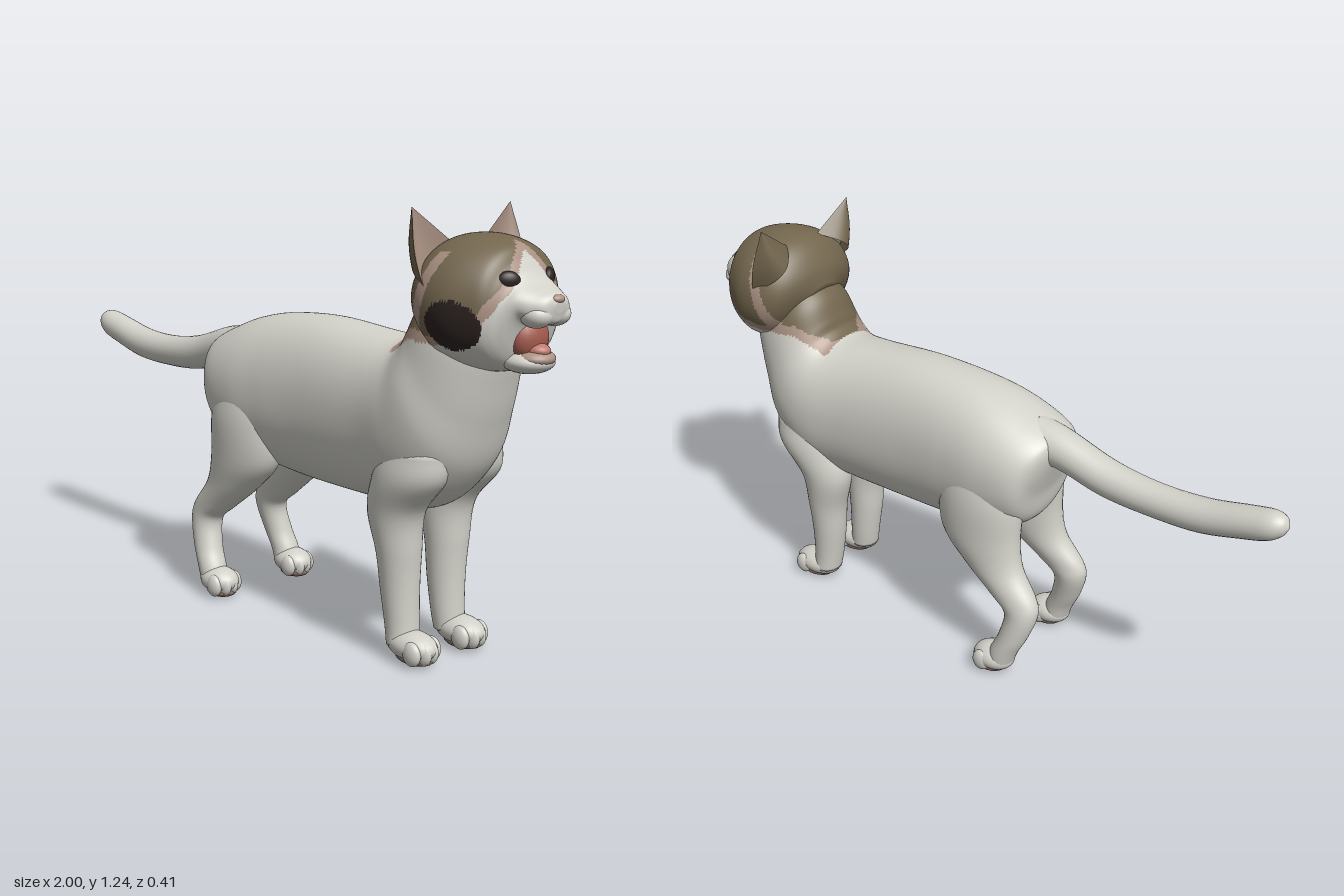
import * as THREE from 'three';

const mat = (name, color) => Object.assign(new THREE.MeshStandardMaterial({ color }), { name });
const white = mat('whiteFur', 0xd3d2ca);
const brown = mat('brownFur', 0x74674f);
const tan = mat('tanFur', 0xab9284);
const dark = mat('darkFur', 0x2c2221);
const mouthRed = mat('mouthRed', 0xa65c50);
const tonguePink = mat('tonguePink', 0xc07a6e);
const padBrown = mat('padBrown', 0x84675e);
const FUR = [white, tan, brown, dark];
const V = (x, y, z) => new THREE.Vector3(x, y, z);

// Smooth closed skin over rings { c: centre, a, b: half axes }
function loft(rings, steps = 6, seg = 32, power = 2) {
  const [cc, ca, cb] = ['c', 'a', 'b'].map(k =>
    new THREE.CatmullRomCurve3(rings.map(r => r[k]), false, 'catmullrom', 0.5));
  const n = (rings.length - 1) * steps, pos = [], idx = [];
  const bend = v => Math.sign(v) * Math.abs(v) ** (2 / power);
  for (let i = 0; i <= n; i++) {
    const c = cc.getPoint(i / n), a = ca.getPoint(i / n), b = cb.getPoint(i / n);
    for (let j = 0; j < seg; j++) {
      const t = j / seg * Math.PI * 2;
      const p = c.clone().addScaledVector(a, bend(Math.cos(t))).addScaledVector(b, bend(Math.sin(t)));
      pos.push(p.x, p.y, p.z);
    }
  }
  for (let i = 0; i < n; i++) for (let j = 0; j < seg; j++) {
    const k = (j + 1) % seg, p = i * seg + j, q = i * seg + k;
    idx.push(p, p + seg, q, q, p + seg, q + seg);
  }
  // end caps
  const first = rings[0].c, last = rings[rings.length - 1].c, m = pos.length / 3;
  pos.push(first.x, first.y, first.z, last.x, last.y, last.z);
  for (let j = 0; j < seg; j++) {
    const k = (j + 1) % seg;
    idx.push(m, j, k, m + 1, n * seg + k, n * seg + j);
  }
  // turn the skin outwards when the signed volume is negative
  const at = i => V(pos[3 * i], pos[3 * i + 1], pos[3 * i + 2]);
  let vol = 0;
  for (let i = 0; i < idx.length; i += 3) vol += at(idx[i]).dot(at(idx[i + 1]).cross(at(idx[i + 2])));
  if (vol < 0) idx.reverse();
  const g = new THREE.BufferGeometry();
  g.setAttribute('position', new THREE.Float32BufferAttribute(pos, 3));
  g.setIndex(idx);
  g.computeVertexNormals();
  return g;
}

// Ring spanning a top and a bottom point of the side profile
const profile = ([xt, yt, xb, yb, w]) =>
  ({ c: V((xt + xb) / 2, (yt + yb) / 2, 0), a: V((xt - xb) / 2, (yt - yb) / 2, 0), b: V(0, 0, w) });

// Piecewise linear lookup in [[key, value], ...]
function lookup(table, k) {
  if (k <= table[0][0]) return table[0][1];
  for (let i = 1; i < table.length; i++) {
    const [k0, v0] = table[i - 1], [k1, v1] = table[i];
    if (k <= k1) return v0 + (v1 - v0) * (k - k0) / (k1 - k0);
  }
  return table[table.length - 1][1];
}

// Fur pattern: 0 white, 1 tan, 2 brown, 3 dark
const hoodEdge = [[0.53, 0.875], [0.62, 0.925], [0.72, 0.92], [0.8, 0.935], [0.86, 0.97], [0.9, 1.03]];
const blazeEdge = [[0.95, 0.17], [1.01, 0.145], [1.07, 0.085], [1.11, 0.055], [1.14, 0.025], [1.16, 0]];
function furAt(x, y, z) {
  if (x < 0.515) return 0;
  if (z > 0.1 && ((x - 0.8) / 0.072) ** 2 + ((y - 0.953) / 0.063) ** 2 < 1) return 3;
  let f = y - lookup(hoodEdge, x);
  if (x > 0.8) f = Math.min(f, Math.abs(z) - lookup(blazeEdge, y));
  if (f < -0.028) return 0;
  const strip = Math.abs(x - 0.68 - (y - 0.93) * 0.3) < 0.018 && y < 1.13 && Math.abs(z) > 0.1;
  return f < 0 || strip ? 1 : 2;
}

// Sort the triangles into one group per fur colour
function paint(g) {
  const p = g.attributes.position, idx = g.index.array, buckets = [[], [], [], []];
  for (let i = 0; i < idx.length; i += 3) {
    const t = [idx[i], idx[i + 1], idx[i + 2]];
    const mid = f => (f(t[0]) + f(t[1]) + f(t[2])) / 3;
    buckets[furAt(mid(k => p.getX(k)), mid(k => p.getY(k)), mid(k => p.getZ(k)))].push(...t);
  }
  g.setIndex(buckets.flat());
  let start = 0;
  buckets.forEach((b, i) => { if (b.length) g.addGroup(start, b.length, i); start += b.length; });
  return g;
}

export function createModel() {
  const cat = new THREE.Group();
  cat.name = 'cat';
  const add = (name, geo, material, parent = cat) => {
    const m = new THREE.Mesh(geo, material);
    m.name = name;
    parent.add(m);
    return m;
  };
  const blob = (name, material, [x, y, z], [rx, ry, rz], parent) => {
    const m = add(name, new THREE.SphereGeometry(1, 24, 16), material, parent);
    m.position.set(x, y, z);
    m.scale.set(rx, ry, rz);
    return m;
  };

  // torso and neck
  add('torso', paint(loft([
    [-0.295, 0.775, -0.285, 0.71, 0.045], [-0.27, 0.8, -0.25, 0.61, 0.12], [-0.2, 0.832, -0.215, 0.5, 0.165],
    [-0.1, 0.868, -0.09, 0.44, 0.18], [0.02, 0.89, 0.05, 0.42, 0.173], [0.2, 0.898, 0.2, 0.41, 0.165],
    [0.4, 0.882, 0.45, 0.41, 0.17], [0.5, 0.877, 0.62, 0.425, 0.184], [0.54, 0.895, 0.74, 0.54, 0.184],
    [0.555, 0.93, 0.795, 0.68, 0.165], [0.585, 0.99, 0.825, 0.79, 0.15], [0.64, 1.04, 0.84, 0.85, 0.13],
  ].map(profile), 10, 96, 2.15)), FUR);

  // head with the upper muzzle
  const head = new THREE.Group();
  head.name = 'head';
  cat.add(head);
  add('skull', paint(loft([
    [0.602, 1.02, 0.64, 0.94, 0.06], [0.615, 1.08, 0.68, 0.88, 0.15], [0.65, 1.135, 0.72, 0.84, 0.188],
    [0.7, 1.165, 0.76, 0.828, 0.2], [0.78, 1.17, 0.8, 0.822, 0.195], [0.86, 1.15, 0.85, 0.828, 0.163],
    [0.89, 1.112, 0.875, 0.84, 0.138], [0.908, 1.083, 0.895, 0.87, 0.115], [0.93, 1.06, 0.925, 0.952, 0.094],
    [0.96, 1.046, 0.957, 0.955, 0.072], [0.985, 1.035, 0.985, 0.965, 0.048], [0.997, 1.018, 0.994, 0.99, 0.018],
  ].map(profile), 10, 96, 2.1)), FUR);
  blob('mouthInside', mouthRed, [0.9, 0.918, 0], [0.042, 0.06, 0.062], head);
  blob('lowerJaw', white, [0.9, 0.86, 0], [0.07, 0.032, 0.068], head);
  blob('lowerLip', tan, [0.92, 0.87, 0], [0.054, 0.024, 0.054], head);
  blob('tongue', tonguePink, [0.925, 0.89, 0], [0.04, 0.02, 0.032], head);
  blob('nose', tan, [0.985, 1.023, 0], [0.016, 0.012, 0.022], head);

  for (const s of [1, -1]) {
    const side = s > 0 ? 'Front' : 'Back';
    blob('muzzlePuff' + side, white, [0.95, 0.982, s * 0.034], [0.042, 0.032, 0.042], head);
    const eye = blob('eye' + side, dark, [0.894, 1.065, s * 0.077], [0.016, 0.024, 0.031], head);
    eye.rotation.y = -s * 0.6;

    // ear: bulged brown back and shallow pink inside, both narrowing to the tip
    const tip = V(0.67, 1.238, s * 0.187), inner = V(0.69, 1.15, s * 0.065), outer = V(0.725, 1.03, s * 0.188);
    const shell = bulge => {
      const g = new THREE.PlaneGeometry(1, 1, 16, 12), p = g.attributes.position;
      for (let i = 0; i < p.count; i++) {
        const u = p.getX(i) + 0.5, v = p.getY(i) + 0.5, arch = Math.sin(Math.PI * u);
        const q = inner.clone().lerp(outer, u).add(V(-bulge * arch, 0.012 * arch, s * 0.015 * arch));
        q.sub(tip).multiplyScalar((1 - v) ** 0.8).add(tip);
        q.z += s * 0.016 * Math.sin(Math.PI * v) * u;
        p.setXYZ(i, q.x, q.y, q.z);
      }
      g.computeVertexNormals();
      return g;
    };
    for (const m of [brown, tan]) m.side = THREE.DoubleSide;
    add('earBack' + side, shell(0.075), brown, head);
    add('earInside' + side, shell(0.03), tan, head);

    // legs from horizontal rings [y, x, z, rx, rz]
    const leg = (name, rings, foot) => {
      const g = new THREE.Group();
      g.name = name + side;
      cat.add(g);
      add('limb', loft(rings.map(([y, x, z, rx, rz]) =>
        ({ c: V(x, y, s * z), a: V(rx, 0, 0), b: V(0, 0, s * rz) })), 6, 32), white, g);
      const [x, z, len] = foot;
      blob('paw', white, [x, 0.05, s * z], [len, 0.041, 0.054], g);
      for (let i = 0; i < 4; i++) {
        const o = i - 1.5, front = x + len - 0.028 - 0.008 * o * o;
        blob('toe', white, [front, 0.042, s * z + o * 0.026], [0.03, 0.034, 0.018], g);
      }
      blob('pad', padBrown, [x + 0.01, 0.018, s * z], [len * 0.75, 0.018, 0.042], g);
    };
    leg('foreleg', [
      [0.6, 0.62, 0.1, 0.11, 0.07], [0.52, 0.6, 0.106, 0.115, 0.08], [0.42, 0.548, 0.1, 0.085, 0.075],
      [0.3, 0.555, 0.095, 0.062, 0.064], [0.2, 0.558, 0.092, 0.054, 0.056], [0.1, 0.567, 0.091, 0.047, 0.05],
      [0.045, 0.575, 0.094, 0.045, 0.048],
    ], [0.612, 0.096, 0.082]);
    leg('hindLeg', [
      [0.7, -0.08, 0.09, 0.11, 0.07], [0.58, -0.08, 0.103, 0.14, 0.085], [0.45, -0.085, 0.11, 0.135, 0.078],
      [0.36, -0.135, 0.116, 0.102, 0.064], [0.28, -0.215, 0.125, 0.08, 0.05], [0.23, -0.25, 0.13, 0.054, 0.046],
      [0.15, -0.232, 0.142, 0.046, 0.044], [0.09, -0.205, 0.149, 0.044, 0.044], [0.045, -0.19, 0.15, 0.042, 0.044],
    ], [-0.167, 0.15, 0.068]);
  }

  // tail along a drooping curve [x, y, radius]
  add('tail', loft([
    [-0.2, 0.76, 0.07], [-0.3, 0.752, 0.06], [-0.45, 0.712, 0.055], [-0.6, 0.699, 0.05], [-0.75, 0.706, 0.05],
    [-0.88, 0.735, 0.048], [-0.95, 0.752, 0.044], [-0.985, 0.76, 0.028], [-0.999, 0.762, 0.006],
  ].map(([x, y, r]) => ({ c: V(x, y, 0), a: V(0, r, 0), b: V(0, 0, r) })), 6, 24), white);
  return cat;
}
